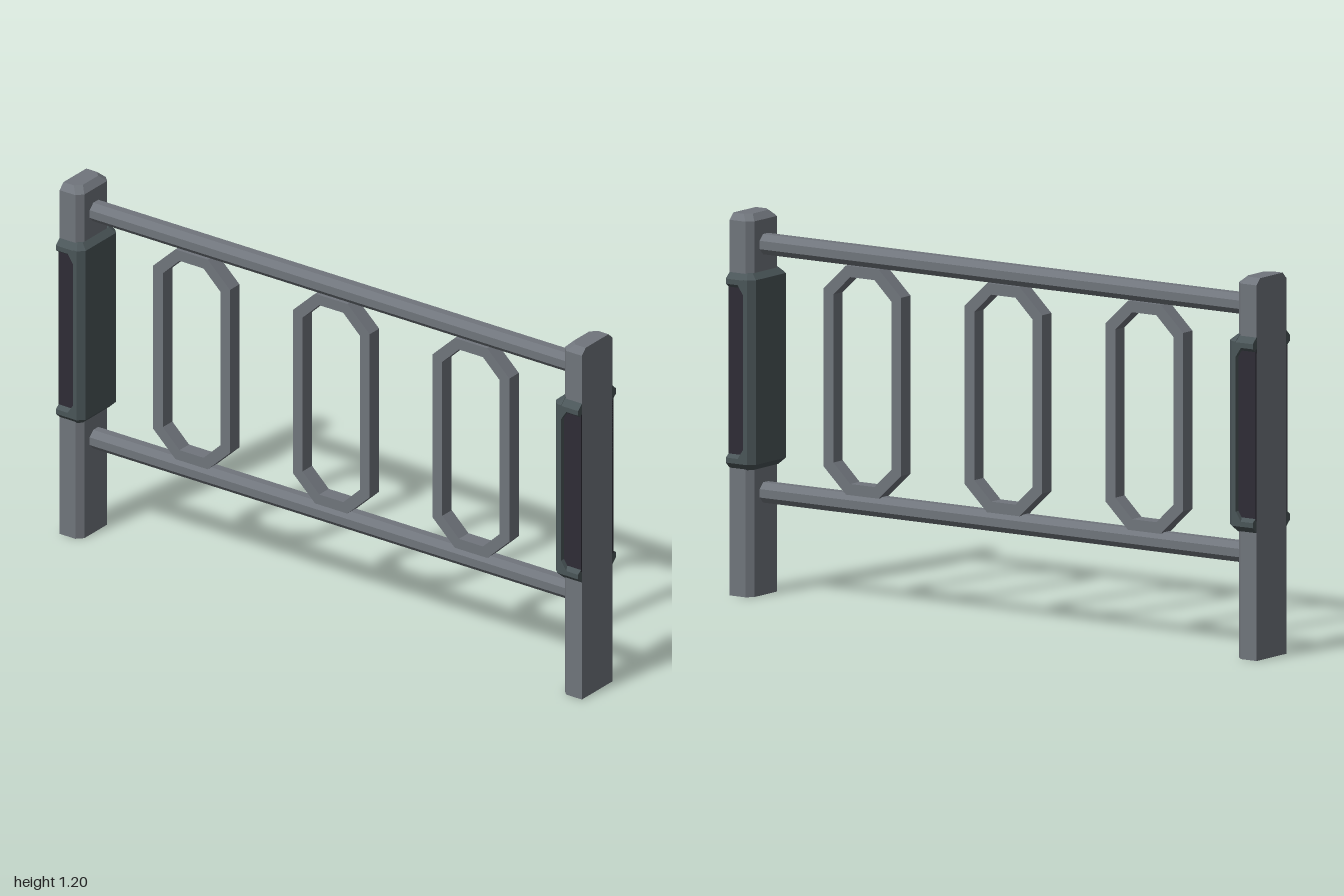
import * as THREE from 'three';
import { ConvexGeometry } from 'three/addons/geometries/ConvexGeometry.js';

const material = (name, color) => new THREE.MeshStandardMaterial({ name, color });

export function createModel() {
  const model = new THREE.Group();
  const steel = material('grey steel', 0x70757c);
  const casing = material('dark green grey casing', 0x4a5558);
  const dark = material('near black panel', 0x2e2c35);

  const add = (parent, name, geometry, mat) => {
    const mesh = new THREE.Mesh(geometry, mat);
    mesh.name = name;
    parent.add(mesh);
    return mesh;
  };
  // Solid hull around corner points
  const hull = (points) => new ConvexGeometry(points.map((p) => new THREE.Vector3(...p)));

  // Plan outline: flat outer side, chamfered inner corners
  const plan = (s, outer, inner, z, c, y) => [-1, 1].flatMap((k) => [
    [s * outer, y, k * z], [s * (inner + c), y, k * z], [s * inner, y, k * (z - c)],
  ]);

  // End posts with casing
  for (const s of [-1, 1]) {
    const end = new THREE.Group();
    end.name = s > 0 ? 'leftEnd' : 'rightEnd';
    model.add(end);

    add(end, 'post', hull([
      ...plan(s, 1, 0.92, 0.08, 0.02, 0),
      ...plan(s, 1, 0.92, 0.08, 0.02, 1.18),
      ...plan(s, 1, 0.94, 0.06, 0.02, 1.2),
    ]), steel);

    // Inner wall of the casing, bevelled at top and bottom
    add(end, 'casingWall', hull([
      ...plan(s, 0.935, 0.92, 0.08, 0.012, 0.4),
      ...plan(s, 0.935, 0.9, 0.1, 0.02, 0.42),
      ...plan(s, 0.935, 0.9, 0.1, 0.02, 1.0),
      ...plan(s, 0.935, 0.92, 0.08, 0.012, 1.018),
    ]), casing);

    for (const k of [-1, 1]) {
      // Bars above and below each recess, with corner gussets
      for (const [edge, d] of [[0.4, 1], [1.018, -1]]) {
        const bar = [[0, 0.078], [0.02, 0.1], [0.036, 0.1], [0.052, 0.078]];
        add(end, 'casingBar', hull([1, 0.93].flatMap((x) =>
          bar.map(([dy, z]) => [s * x, edge + d * dy, k * z]))), casing);
        add(end, 'casingGusset', hull([0.078, 0.1].flatMap((z) => [
          [s * 0.93, edge + d * 0.036, k * z],
          [s * 0.955, edge + d * 0.036, k * z],
          [s * 0.935, edge + d * 0.066, k * z],
        ])), casing);
      }
      const panel = add(end, 'recessPanel', new THREE.BoxGeometry(0.066, 0.54, 0.006), dark);
      panel.position.set(s * 0.967, 0.709, k * 0.082);
    }
  }

  // Octagonal rails
  for (const [name, y] of [['topRail', 1.102], ['bottomRail', 0.322]]) {
    const geometry = new THREE.CylinderGeometry(0.0345, 0.0345, 1.86, 8).rotateY(Math.PI / 8).toNonIndexed();
    geometry.computeVertexNormals();
    add(model, name, geometry.rotateZ(Math.PI / 2), steel).position.y = y;
  }

  // Tall octagonal rings between the rails
  const octagon = (path, w, h, fx, fy) => {
    path.setFromPoints([
      [fx, h], [-fx, h], [-w, fy], [-w, -fy], [-fx, -h], [fx, -h], [w, -fy], [w, fy],
    ].map(([x, y]) => new THREE.Vector2(x, y)));
    path.closePath();
    return path;
  };
  const ring = octagon(new THREE.Shape(), 0.147, 0.36, 0.062, 0.28);
  ring.holes.push(octagon(new THREE.Path(), 0.11, 0.325, 0.046, 0.264));
  const ringGeometry = new THREE.ExtrudeGeometry(ring, { depth: 0.05, bevelEnabled: false });
  ringGeometry.translate(0, 0, -0.025);
  for (const x of [-0.535, 0, 0.535]) {
    add(model, 'octagonRing', ringGeometry, steel).position.set(x, 0.71, 0);
  }

  return model;
}
